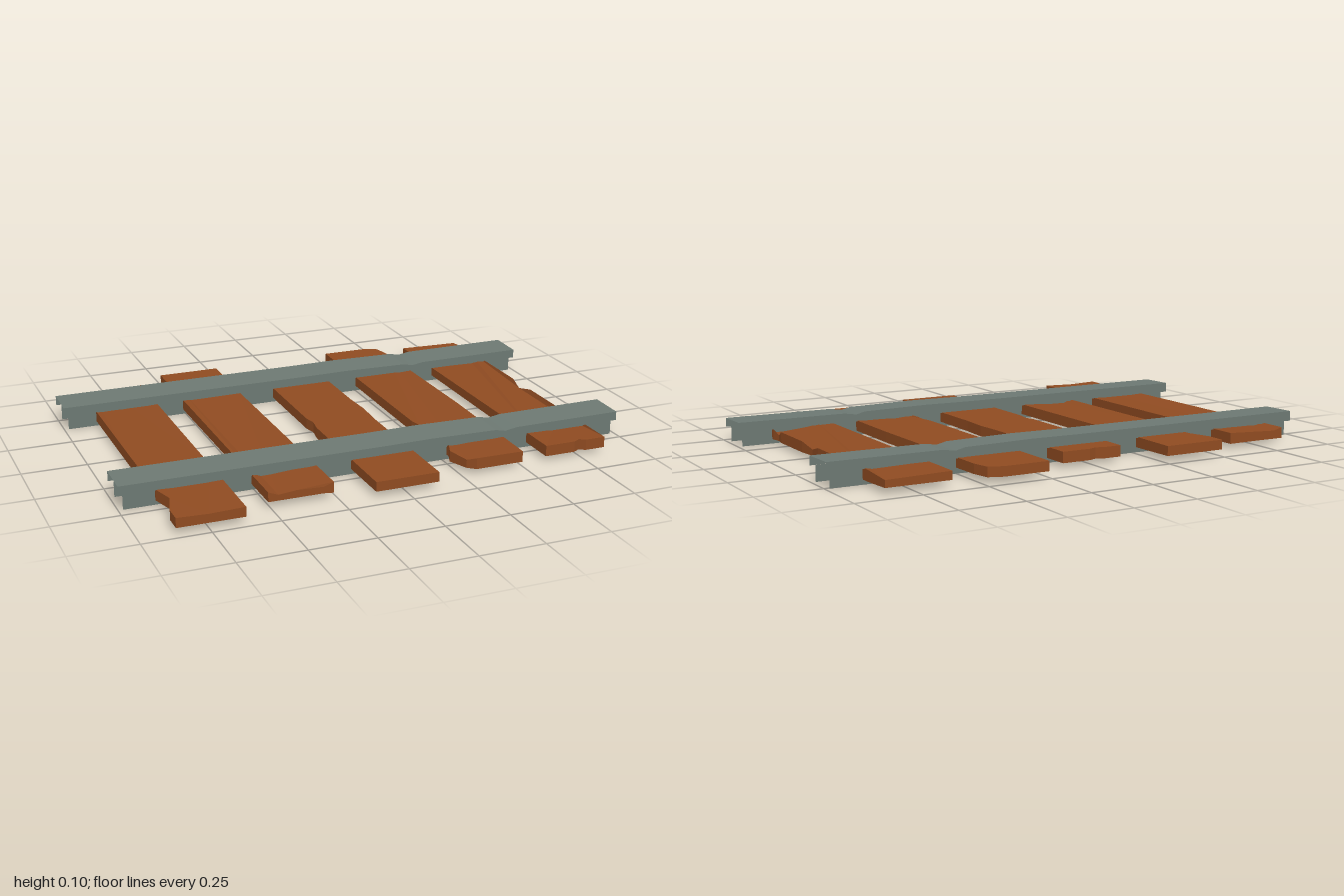
import * as THREE from 'three';

const wood = new THREE.MeshStandardMaterial({ color: 0x8f4b21, side: THREE.DoubleSide });
wood.name = 'brown wood';
const metal = new THREE.MeshStandardMaterial({ color: 0x6c7872, side: THREE.DoubleSide });
metal.name = 'grey metal';

const TOP = 0.06, BOTTOM = 0.018;

// Faceted mesh from a list of triangles, each made of Vector3 corners
function facetMesh(triangles, material, name) {
  const geometry = new THREE.BufferGeometry().setFromPoints(triangles.flat());
  geometry.computeVertexNormals();
  const mesh = new THREE.Mesh(geometry, material);
  mesh.name = name;
  return mesh;
}

// Plank: chipped outline [x, z, top height] with side walls, open underneath
function plank(outline, name) {
  const flat = outline.map(([x, z]) => new THREE.Vector2(x, -z));
  if (THREE.ShapeUtils.isClockWise(flat)) {
    flat.reverse();
    outline = [...outline].reverse();
  }
  const top = outline.map(([x, z, y = TOP]) => new THREE.Vector3(x, y, z));
  const low = outline.map(([x, z]) => new THREE.Vector3(x, Math.abs(z) > 0.63 ? 0.023 : BOTTOM, z));
  const tris = THREE.ShapeUtils.triangulateShape(flat, []).map((f) => f.map((i) => top[i]));
  top.forEach((a, i) => {
    const j = (i + 1) % top.length;
    tris.push([low[i], low[j], top[j]], [low[i], top[j], a]);
  });
  return facetMesh(tris, wood, name);
}

// Rail cap: folded sheet with a slight dent, swept along x
function railCap() {
  const stations = [[-1, 0.094], [0, 0.094], [0.2, 0.096], [0.47, 0.092], [0.51, 0.083], [0.56, 0.091], [1, 0.093]];
  const sections = stations.map(([x, y]) => [
    new THREE.Vector3(x, 0.058, 0.465), new THREE.Vector3(x, y, 0.465),
    new THREE.Vector3(x, y + 0.003, 0.32), new THREE.Vector3(x, 0.058, 0.32),
  ]);
  const tris = [];
  for (let s = 0; s < sections.length - 1; s++) {
    const a = sections[s], b = sections[s + 1];
    for (let k = 0; k < 3; k++) tris.push([a[k], b[k], b[k + 1]], [a[k], b[k + 1], a[k + 1]]);
  }
  return facetMesh(tris, metal, 'railCap');
}

// Rail: cap with two thin upright strips below it
function rail(name, z) {
  const group = new THREE.Group();
  group.name = name;
  group.add(railCap());
  for (const [stripName, sz, turn] of [['frontStrip', 0.455, 0], ['backStrip', 0.335, Math.PI]]) {
    const strip = new THREE.Mesh(new THREE.PlaneGeometry(1.965, 0.06), metal);
    strip.name = stripName;
    strip.position.set(0, 0.03, sz);
    strip.rotation.y = turn;
    group.add(strip);
  }
  group.position.z = z;
  return group;
}

export function createModel() {
  const model = new THREE.Group();
  model.name = 'plankTrack';

  // Five planks, each with its own broken edges
  const outlines = [
    [[-0.87, -0.63], [-0.83, -0.63, 0.05], [-0.76, -0.628, 0.053], [-0.62, -0.63], [-0.618, 0.3], [-0.618, 0.72],
      [-0.75, 0.72, 0.056], [-0.868, 0.72], [-0.868, 0.65], [-0.84, 0.55], [-0.865, 0.46], [-0.868, 0.08]],
    [[-0.51, -0.72], [-0.262, -0.72], [-0.268, -0.4], [-0.26, 0.63], [-0.3, 0.633, 0.048], [-0.4, 0.633, 0.052],
      [-0.47, 0.633, 0.045], [-0.508, 0.633], [-0.51, -0.4], [-0.49, -0.42], [-0.482, -0.55], [-0.51, -0.64]],
    [[-0.122, -0.62], [-0.05, -0.62], [-0.02, -0.608], [0.01, -0.62], [0.125, -0.62], [0.125, -0.14],
      [0.132, -0.02], [0.125, 0.1], [0.125, 0.69], [-0.122, 0.69], [-0.122, 0.11], [-0.112, 0.05], [-0.122, 0]],
    [[0.25, -0.73], [0.43, -0.73], [0.485, -0.71], [0.5, -0.64], [0.508, 0.05], [0.5, 0.625],
      [0.31, 0.625], [0.28, 0.6, 0.05], [0.25, 0.52], [0.27, 0.47], [0.255, 0.28], [0.26, 0.23], [0.25, 0.18]],
    [[0.608, -0.687, 0.055], [0.86, -0.687, 0.05], [0.86, -0.55], [0.86, -0.12], [0.852, -0.05, 0.042], [0.86, 0.03],
      [0.86, 0.24], [0.853, 0.28, 0.04], [0.86, 0.32], [0.86, 0.61], [0.78, 0.61], [0.757, 0.595], [0.73, 0.61], [0.608, 0.61]],
  ];
  outlines.forEach((outline, i) => model.add(plank(outline, `plank${i + 1}`)));

  // Two matching rails
  model.add(rail('frontRail', 0), rail('backRail', -0.845));
  return model;
}
